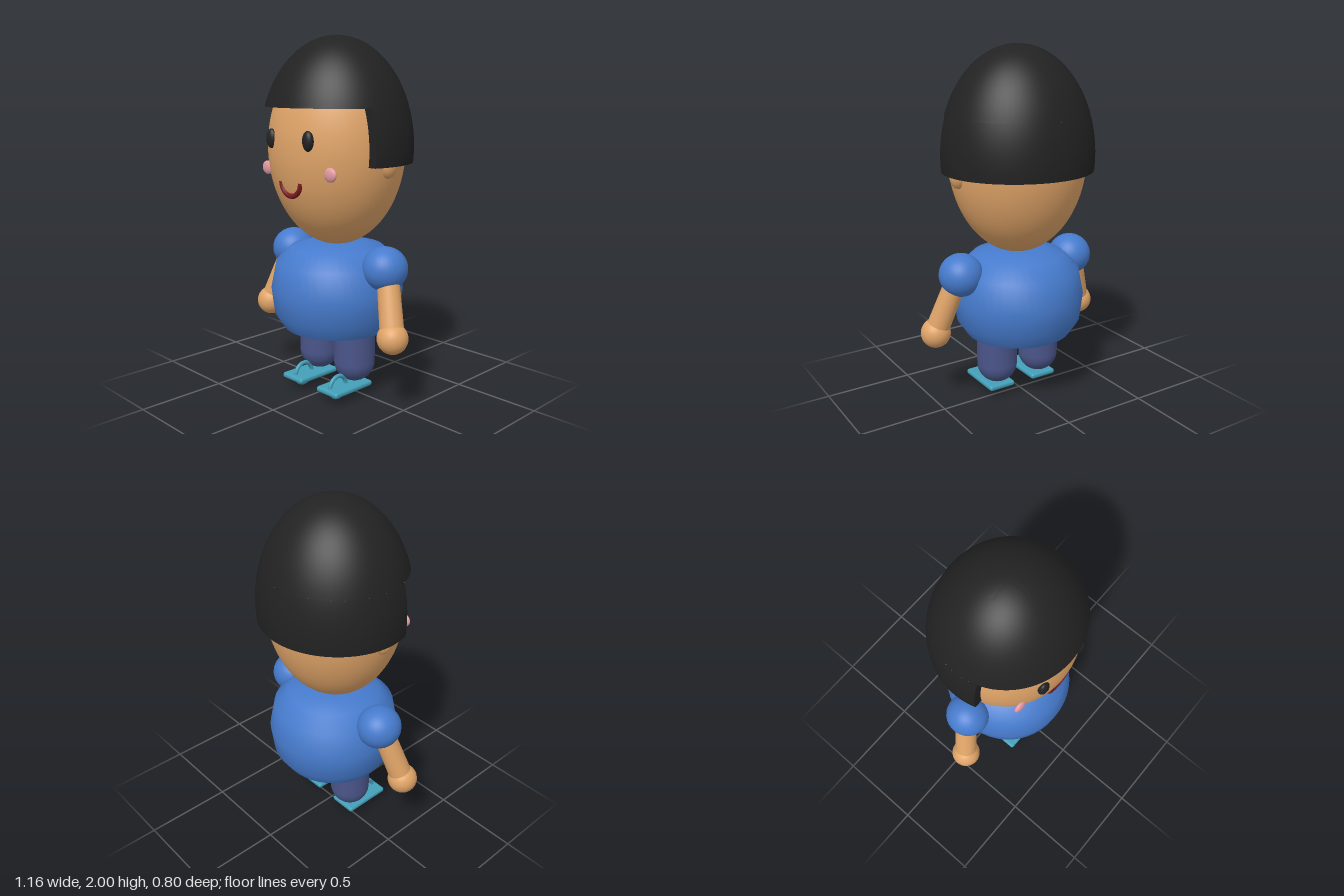
import * as THREE from 'three';
import { toCreasedNormals } from 'three/addons/utils/BufferGeometryUtils.js';
import { RoundedBoxGeometry } from 'three/addons/geometries/RoundedBoxGeometry.js';

const paint = (name, color) => {
  const m = new THREE.MeshStandardMaterial({ color });
  m.name = name;
  return m;
};

// Solid slice of an ellipsoid between two heights, cut flat in front at z = zMax
function ellipsoidSlice([rx, ry, rz], y0, y1, zMax, rings = 28, steps = 72) {
  const pos = [], index = [];
  for (let i = 0; i <= rings; i++) {
    const a0 = Math.asin(y0 / ry), a1 = Math.asin(y1 / ry);
    const lat = a0 + (a1 - a0) * i / rings;
    const k = Math.cos(lat);
    const start = Math.acos(Math.min(1, zMax / Math.max(rz * k, 1e-6)));
    for (let j = 0; j <= steps; j++) {
      const a = start + (2 * Math.PI - 2 * start) * j / steps;
      pos.push(rx * k * Math.sin(a), ry * Math.sin(lat), rz * k * Math.cos(a));
    }
  }
  const row = steps + 1;
  for (let i = 0; i < rings; i++) {
    for (let j = 0; j < row; j++) {
      const a = i * row + j, b = i * row + (j + 1) % row;
      index.push(a, b, b + row, a, b + row, a + row);
    }
  }
  // flat underside
  const centre = pos.length / 3;
  pos.push(0, y0, 0);
  for (let j = 0; j < row; j++) index.push(centre, (j + 1) % row, j);
  const g = new THREE.BufferGeometry();
  g.setAttribute('position', new THREE.Float32BufferAttribute(pos, 3));
  g.setIndex(index);
  return toCreasedNormals(g, 0.6);
}

export function createModel() {
  const group = new THREE.Group();
  const skin = paint('skin', 0xe0a468);
  const black = paint('black hair', 0x222222);
  const shirt = paint('blue shirt', 0x467bcd);
  const trousers = paint('navy trousers', 0x4a5589);
  const sandal = paint('teal sandal', 0x439fb8);
  const pink = paint('pink cheek', 0xe39aa3);
  const red = paint('dark red mouth', 0x7a1a20);

  const add = (name, geometry, material, x = 0, y = 0, z = 0) => {
    const mesh = new THREE.Mesh(geometry, material);
    mesh.name = name;
    mesh.position.set(x, y, z);
    group.add(mesh);
    return mesh;
  };
  const ball = (rx, ry, rz, w = 32, h = 24) =>
    new THREE.SphereGeometry(1, w, h).scale(rx, ry, rz);

  const midZ = 0.016, headY = 1.4;

  // Head and hair: a cap with a straight fringe, longer at the sides and back
  add('head', ball(0.39, 0.545, 0.37, 64, 48), skin, 0, headY, midZ);
  const hair = [0.433, 0.6, 0.416];
  add('hairCap', ellipsoidSlice(hair, 0.22, 0.6, 9), black, 0, headY, midZ);
  add('hairBack', ellipsoidSlice(hair, -0.08, 0.22, 0.126), black, 0, headY, midZ);

  // Smile: lower half of a ring, with closed ends
  const smile = new THREE.TorusGeometry(0.075, 0.014, 12, 32, Math.PI);
  add('smile', smile, red, 0, 1.232, 0.352).rotation.z = Math.PI;

  // Torso: rounded barrel with a flat hem
  const profile = [[0, 0.38], [0.305, 0.38], [0.357, 0.46], [0.375, 0.605], [0.345, 0.757],
    [0.26, 0.84], [0.15, 0.868], [0, 0.87]].map(([r, y]) => new THREE.Vector2(r, y));
  const torso = toCreasedNormals(new THREE.LatheGeometry(profile, 48), 0.75);
  add('torso', torso, shirt, 0, 0, 0.012);

  for (const [side, s] of [['left', 1], ['right', -1]]) {
    // Face details
    add(side + 'Ear', ball(0.05, 0.08, 0.053), skin, s * 0.375, 1.333, 0.01);
    add(side + 'Eye', ball(0.035, 0.053, 0.025), black, s * 0.143, 1.455, 0.36);
    add(side + 'Cheek', ball(0.043, 0.038, 0.018), pink, s * 0.247, 1.287, 0.303);
    add(side + 'SmileEnd', new THREE.CircleGeometry(0.014, 12), red, s * 0.075, 1.232, 0.352)
      .rotation.x = -Math.PI / 2;

    // Arm from the sleeve to the hand
    add(side + 'Sleeve', ball(0.123, 0.12, 0.126), shirt, s * 0.368, 0.77, midZ);
    const top = new THREE.Vector3(s * 0.385, 0.77, midZ);
    const end = new THREE.Vector3(s * 0.495, 0.43, 0.093);
    const along = end.clone().sub(top);
    const arm = add(side + 'Arm', new THREE.CylinderGeometry(0.066, 0.06, along.length(), 28), skin);
    arm.position.copy(top).add(end).multiplyScalar(0.5);
    arm.quaternion.setFromUnitVectors(new THREE.Vector3(0, 1, 0), along.normalize());
    add(side + 'Hand', ball(0.084, 0.084, 0.084), skin, end.x, end.y, end.z);

    // Leg with a rounded end
    add(side + 'Leg', new THREE.CapsuleGeometry(0.116, 0.22, 12, 32), trousers, s * 0.143, 0.306, midZ);

    // Sandal: thin sole with a ring strap passing through it
    add(side + 'Sole', new RoundedBoxGeometry(0.164, 0.032, 0.29, 3, 0.014), sandal, s * 0.143, 0.062, 0.095);
    add(side + 'Strap', new THREE.TorusGeometry(0.061, 0.012, 12, 40), sandal, s * 0.143, 0.073, 0.147)
      .rotation.y = Math.PI / 2;
  }
  return group;
}
